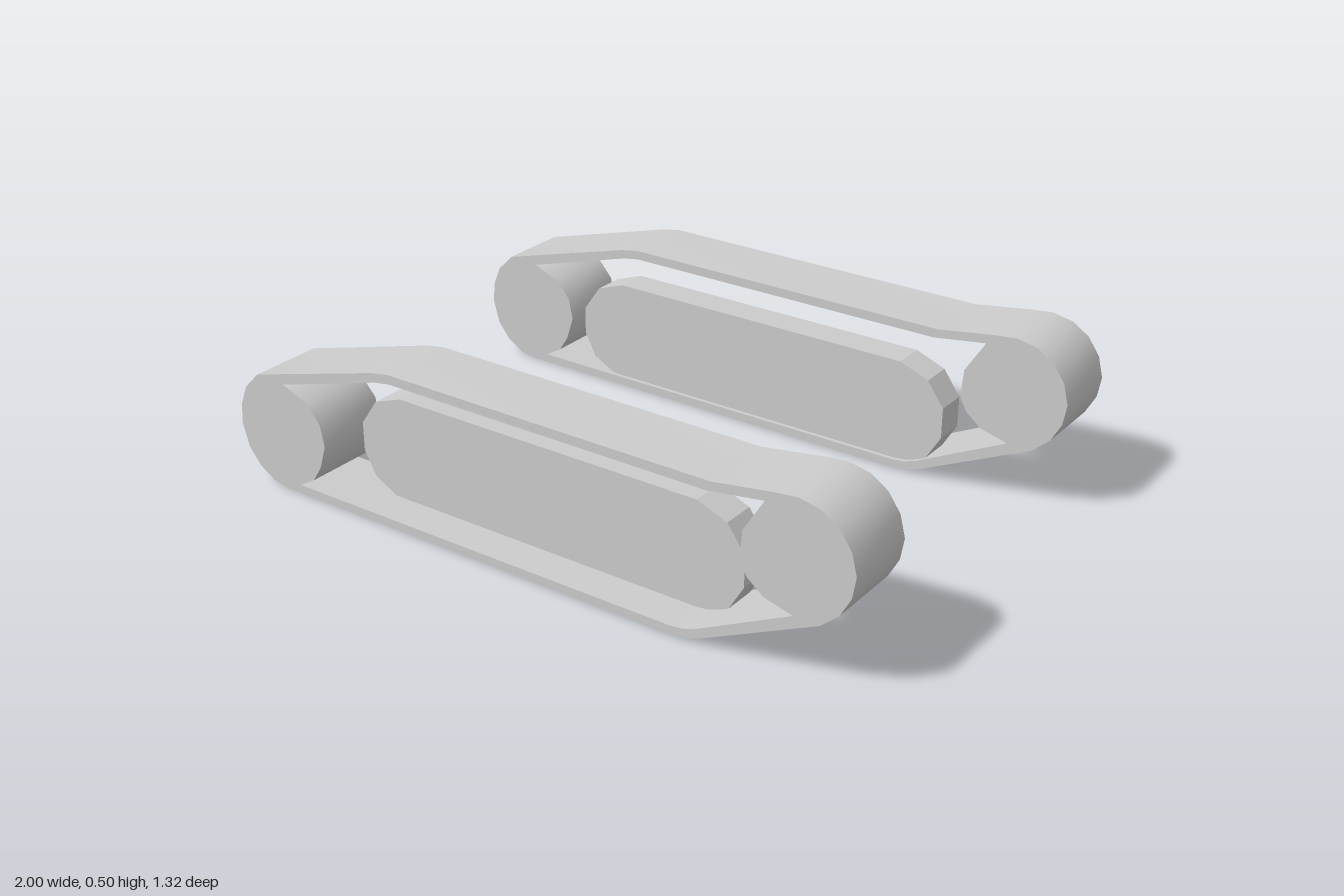
import * as THREE from 'three';
import { toCreasedNormals } from 'three/addons/utils/BufferGeometryUtils.js';

const INNER_Z = 0.44, OUTER_Z = 0.66;             // belt and rollers
const BLOCK_INNER_Z = 0.453, BLOCK_OUTER_Z = 0.55; // block, set in from the outer face
const grey = new THREE.MeshStandardMaterial({ color: 0xcccccc });

const toPoints = (list) => list.map(([x, y]) => new THREE.Vector2(x, y));

// Side profile pushed from z = from to z = to
function slab(name, outline, from, to, crease, hole) {
  const shape = new THREE.Shape(toPoints(outline));
  if (hole) shape.holes.push(new THREE.Path(toPoints(hole)));
  const geometry = new THREE.ExtrudeGeometry(shape, { depth: Math.abs(to - from), bevelEnabled: false });
  geometry.translate(0, 0, Math.min(from, to));
  const mesh = new THREE.Mesh(toCreasedNormals(geometry, crease), grey);
  mesh.name = name;
  return mesh;
}

// Outside of the belt, anticlockwise from the lower left
const beltOutline = [
  [-0.83, 0], [0.48, 0], [0.53, 0.006], [0.57, 0.02], [0.91, 0.18],
  [0.96, 0.225], [0.99, 0.28], [1, 0.34], [0.985, 0.40], [0.95, 0.45], [0.90, 0.483], [0.84, 0.495], [0.78, 0.489],
  [0.6, 0.462], [-0.42, 0.462], [-0.48, 0.452], [-0.92, 0.33],
  [-0.97, 0.28], [-0.995, 0.22], [-1, 0.16], [-0.98, 0.09], [-0.94, 0.04], [-0.89, 0.01],
];

// Inside of the belt where it wraps each roller
const highWrap = [
  [0.835, 0.18], [0.9, 0.205], [0.94, 0.24], [0.967, 0.288], [0.975, 0.34],
  [0.963, 0.39], [0.932, 0.433], [0.89, 0.46], [0.84, 0.47], [0.75, 0.458],
];
const lowWrap = [
  [-0.82, 0.326], [-0.91, 0.305], [-0.949, 0.265], [-0.97, 0.215], [-0.975, 0.163],
  [-0.957, 0.1], [-0.924, 0.06], [-0.883, 0.035], [-0.83, 0.026], [-0.785, 0.026],
];
const beltInside = [
  [0.48, 0.026], [0.52, 0.03], [0.56, 0.044], ...highWrap,
  [0.59, 0.435], [-0.42, 0.435], [-0.47, 0.427], ...lowWrap,
];

// Rollers: the wrapped arc plus the facets facing inwards
const highRoller = [
  ...highWrap, [0.69, 0.362], [0.684, 0.28], [0.705, 0.24], [0.752, 0.202],
];
const lowRoller = [
  ...lowWrap, [-0.73, 0.058], [-0.7, 0.105], [-0.677, 0.175], [-0.69, 0.24], [-0.735, 0.292],
];

// Long block with chamfered ends that rests on the lower run
const block = [
  [-0.52, 0.024], [0.49, 0.024], [0.53, 0.03], [0.58, 0.051], [0.627, 0.13], [0.627, 0.222], [0.575, 0.295],
  [0.485, 0.33], [-0.49, 0.33], [-0.58, 0.298], [-0.635, 0.22], [-0.635, 0.135], [-0.598, 0.065],
];

export function createModel() {
  const model = new THREE.Group();
  model.name = 'trackPair';
  for (const side of [1, -1]) {
    const inner = side * INNER_Z, outer = side * OUTER_Z;
    const track = new THREE.Group();
    track.name = side > 0 ? 'frontTrack' : 'backTrack';
    track.add(
      slab('belt', beltOutline, inner, outer, 0.62, beltInside),
      slab('raisedRoller', highRoller, inner, outer, 0.62),
      slab('groundRoller', lowRoller, inner, outer, 0.62),
      slab('roadWheelBlock', block, side * BLOCK_INNER_Z, side * BLOCK_OUTER_Z, 0.1),
    );
    model.add(track);
  }
  return model;
}
